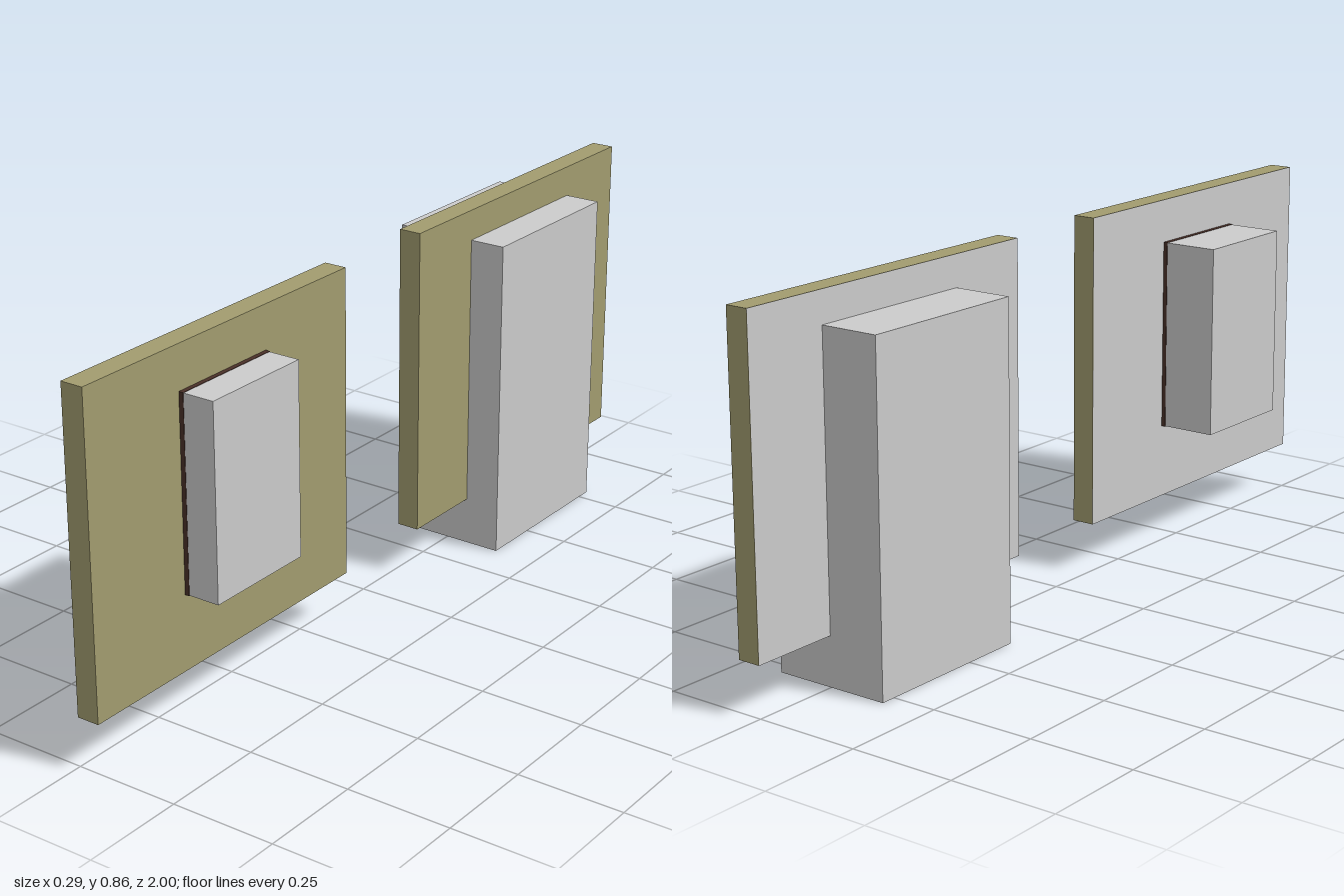
import * as THREE from 'three';

const grey = new THREE.MeshStandardMaterial({ color: 0xcccccc });
const olive = new THREE.MeshStandardMaterial({ color: 0xa29c6f });
const brown = new THREE.MeshStandardMaterial({ color: 0x4a3028 });

// Box given by its extents along each axis
function block(name, [x0, x1], [y0, y1], [z0, z1], material) {
  const mesh = new THREE.Mesh(new THREE.BoxGeometry(x1 - x0, y1 - y0, z1 - z0), material);
  mesh.position.set((x0 + x1) / 2, (y0 + y1) / 2, (z0 + z1) / 2);
  mesh.name = name;
  return mesh;
}

// Olive wall panel with a grey facing on its right (-x) side
function wall(name, z) {
  const group = new THREE.Group();
  group.name = name;
  const x = [0, 0.055], y = [0.116, 0.857];
  group.add(block('panel', x, y, z, olive));
  const facing = new THREE.Mesh(new THREE.PlaneGeometry(z[1] - z[0], y[1] - y[0]), grey);
  facing.name = 'facing';
  facing.rotation.y = -Math.PI / 2;
  facing.position.set(-0.001, (y[0] + y[1]) / 2, (z[0] + z[1]) / 2);
  group.add(facing);
  return group;
}

export function createModel() {
  const model = new THREE.Group();
  model.name = 'wallsWithOpenings';

  model.add(wall('frontWall', [0.143, 1]));
  model.add(wall('backWall', [-1, -0.143]));

  // Window block and its slim frame, just proud of the block's edges
  model.add(block('windowBlock', [-0.143, 0.143], [0.296, 0.753], [0.43, 0.714], grey));
  model.add(block('windowFrame', [-0.011, 0.066], [0.295, 0.754], [0.429, 0.715], brown));

  // Door block, reaching down to the ground
  model.add(block('doorBlock', [-0.143, 0.143], [0, 0.783], [-0.786, -0.357], grey));

  return model;
}
